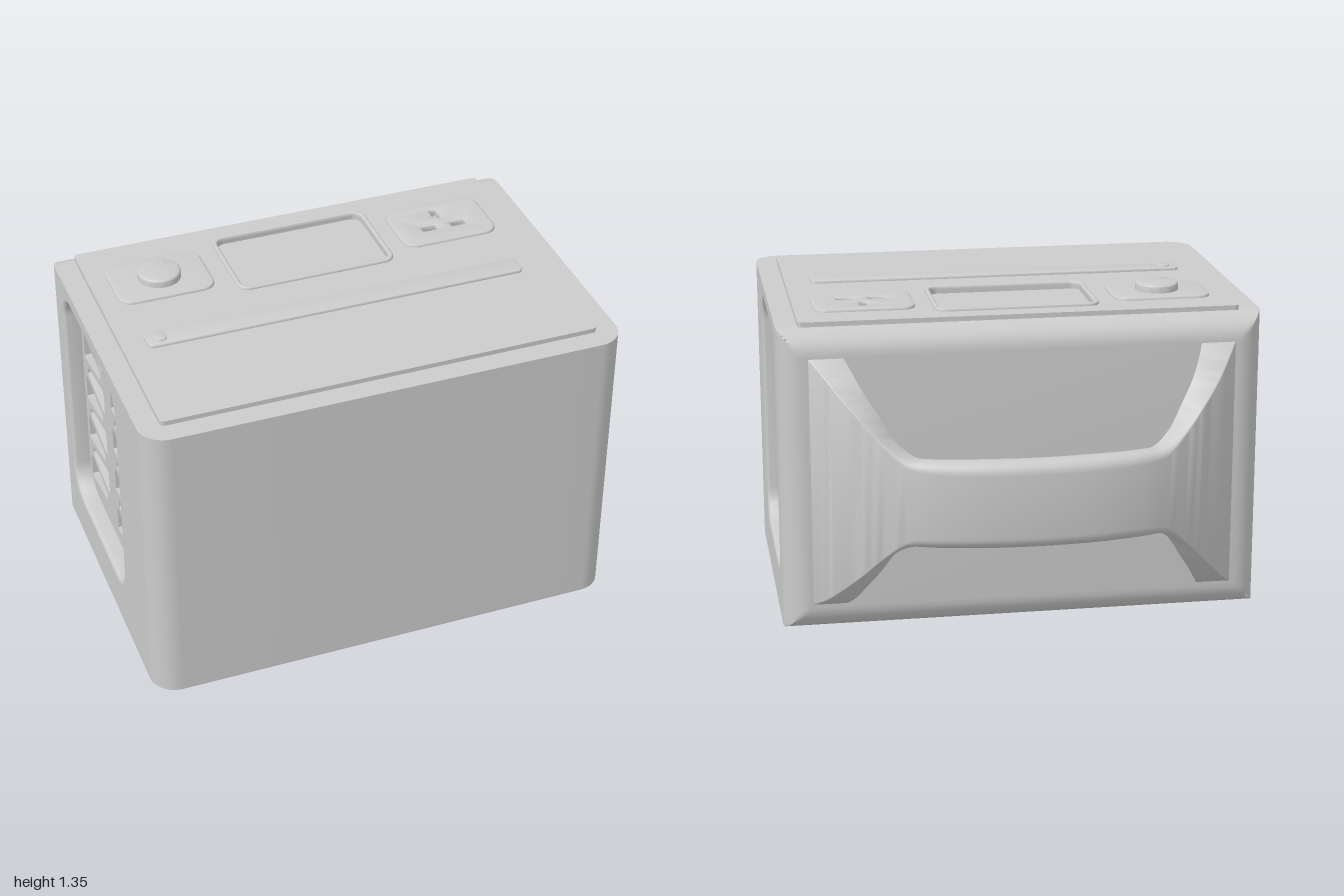
import * as THREE from 'three';
import { toCreasedNormals } from 'three/addons/utils/BufferGeometryUtils.js';

const mat = new THREE.MeshStandardMaterial({ color: 0xcccccc, side: THREE.DoubleSide });
const V3 = (x, y, z) => new THREE.Vector3(x, y, z);

function add(parent, name, geo) {
  const m = new THREE.Mesh(geo, mat);
  m.name = name;
  parent.add(m);
  return m;
}

// Rounded rectangle as a list of points, starting at the (x1, y1) corner
function roundRect(x0, x1, y0, y1, r, n = 8) {
  const pts = [];
  [[x1 - r, y1 - r], [x0 + r, y1 - r], [x0 + r, y0 + r], [x1 - r, y0 + r]].forEach(([cx, cy], k) => {
    for (let i = 0; i <= n; i++) {
      const a = (k + i / n) * Math.PI / 2;
      pts.push(new THREE.Vector2(cx + r * Math.cos(a), cy + r * Math.sin(a)));
    }
  });
  return pts;
}

function shapeOf(pts, holes = []) {
  const s = new THREE.Shape(pts);
  s.holes = holes.map(h => new THREE.Path(h));
  return s;
}

// Skin over a series of equal-length rings
function loft(rings, closed, crease = 0.6) {
  const n = rings[0].length, idx = [];
  for (let i = 0; i < rings.length - 1; i++) {
    for (let j = 0; j < (closed ? n : n - 1); j++) {
      const a = i * n + j, b = i * n + (j + 1) % n;
      idx.push(a, a + n, b, b, a + n, b + n);
    }
  }
  const g = new THREE.BufferGeometry().setFromPoints(rings.flat());
  g.setIndex(idx);
  return toCreasedNormals(g, crease);
}

// Flat part lying on the top: outline in x/z, soft upper edge
function raised(pts, top, height, bevel, holes = []) {
  const g = new THREE.ExtrudeGeometry(shapeOf(pts, holes), {
    depth: height, bevelEnabled: bevel > 0, bevelThickness: bevel, bevelSize: bevel,
    bevelOffset: -bevel, bevelSegments: 3,
  });
  g.rotateX(Math.PI / 2).translate(0, top - bevel, 0);
  return toCreasedNormals(g, 0.6);
}

function buildBody(root) {
  const H = 1.28, R = 0.11, back = -0.49;
  const outline = roundRect(-1, 1, back, 0.91, R, 12);
  const half = outline.length / 2;
  // heights and back insets of the rounded rear edges
  const levels = [];
  for (let i = 0; i <= 10; i++) {
    const a = i / 10 * Math.PI / 2;
    levels.push([R * (1 - Math.cos(a)), R * (1 - Math.sin(a))]);
  }
  for (let i = 10; i >= 0; i--) levels.push([H - levels[i][0], levels[i][1]]);
  const rings = levels.map(([y, inset]) => outline.map(p => V3(p.x, y, Math.max(p.y, back + inset))));
  add(root, 'frontShell', loft(rings.map(r => r.slice(0, half)), false));
  add(root, 'backShell', loft(rings.map(r => r.slice(half)), false));
  const cap = roundRect(-1, 1, back, 0.91, R, 12).map(p => p.setY(Math.max(p.y, back + R)));
  add(root, 'bottomFace', new THREE.ShapeGeometry(shapeOf(cap)).rotateX(Math.PI / 2));
  const topFace = new THREE.ShapeGeometry(shapeOf(cap.map(p => new THREE.Vector2(p.x, -p.y))));
  add(root, 'topFace', topFace.rotateX(-Math.PI / 2).translate(0, H, 0));
}

// One side wall with its sunken vent panel; outlines use u = -z
function buildSide() {
  const g = new THREE.Group();
  const recess = (o) => roundRect(-0.475 - o, 0.28 + o, 0.2 - o, 1.21 + o, 0.12 + o, 10);
  const wall = [[-0.8, 0], [0.38, 0], [0.38, 1.28], [-0.8, 1.28]].map(p => new THREE.Vector2(...p));
  add(g, 'sideWall', new THREE.ShapeGeometry(shapeOf(wall, [recess(0.02)])).rotateY(Math.PI / 2).translate(1, 0, 0));

  // rounded lip and wall of the recess
  const prof = [];
  for (let i = 0; i <= 5; i++) {
    const a = i / 5 * Math.PI / 2;
    prof.push([0.02 * (1 - Math.sin(a)), 0.98 + 0.02 * Math.cos(a)]);
  }
  prof.push([0, 0.93]);
  add(g, 'recessRim', loft(prof.map(([o, x]) => recess(o).map(p => V3(x, p.y, -p.x))), true));

  // interlocking wedge slots, two columns
  const slots = [];
  for (const u of [-0.435, -0.04]) {
    for (let i = 0; i < 4; i++) {
      const y = 1.06 - i * 0.211;
      const wedge = (wide, narrow, yc) => {
        const d = Math.sign(narrow - wide) * 0.012;
        slots.push([[wide + d, yc - 0.06], [narrow - d, yc - 0.022], [narrow, yc - 0.012], [narrow, yc + 0.012],
          [narrow - d, yc + 0.022], [wide + d, yc + 0.06], [wide, yc + 0.05], [wide, yc - 0.05]]
          .map(p => new THREE.Vector2(...p)));
      };
      wedge(u, u + 0.25, y);
      wedge(u + 0.285, u + 0.04, y - 0.104);
    }
  }
  const panel = new THREE.ExtrudeGeometry(shapeOf(recess(0), slots), { depth: 0.03, bevelEnabled: false });
  add(g, 'ventPanel', panel.rotateY(Math.PI / 2).translate(0.9, 0, 0));
  add(g, 'ventBacking', new THREE.BoxGeometry(0.02, 1.01, 0.755).translate(0.89, 0.705, 0.0975));
  return g;
}

function buildTop(root) {
  const top = new THREE.Group();
  top.name = 'controlTop';
  root.add(top);
  const screenHole = roundRect(-0.325, 0.32, -0.305, 0.07, 0.04);
  const pins = [
    roundRect(0.605, 0.635, -0.205, -0.145, 0.003, 2),
    roundRect(0.525, 0.59, -0.095, -0.065, 0.003, 2),
    roundRect(0.655, 0.72, -0.095, -0.065, 0.003, 2),
  ];
  add(top, 'topPlate', raised(roundRect(-0.91, 0.91, -0.41, 0.82, 0.02), 1.3, 0.02, 0, [screenHole, ...pins]));
  add(top, 'screenFrame', raised(roundRect(-0.345, 0.34, -0.325, 0.09, 0.05), 1.312, 0.015, 0.008, [screenHole]));
  add(top, 'knobPad', raised(roundRect(-0.83, -0.42, -0.265, 0.03, 0.06), 1.312, 0.015, 0.01));
  add(top, 'socketPad', raised(roundRect(0.41, 0.83, -0.265, 0.03, 0.06), 1.312, 0.015, 0.01, pins));
  add(top, 'lightStrip', raised(roundRect(-0.81, 0.8, 0.25, 0.35, 0.025), 1.312, 0.015, 0.006));

  // round buttons with a softened edge
  const button = (name, r, y0, y1, f, x, z) => {
    const pts = [new THREE.Vector2(r, y0)];
    for (let i = 0; i <= 5; i++) {
      const a = i / 5 * Math.PI / 2;
      pts.push(new THREE.Vector2(r - f + f * Math.cos(a), y1 - f + f * Math.sin(a)));
    }
    pts.push(new THREE.Vector2(0, y1));
    add(top, name, toCreasedNormals(new THREE.LatheGeometry(pts, 40), 0.6)).position.set(x, 0, z);
  };
  button('powerKnob', 0.09, 1.3, 1.345, 0.012, -0.625, -0.12);
  button('stripButton', 0.028, 1.3, 1.318, 0.003, -0.75, 0.3);
}

// Bowed handle: slim rounded grip flaring into tall blades at the mounts
function buildHandle(root) {
  // outer x, outer z, inner x, inner z, half height, edge radius
  const half = [
    [0.25, -0.9, 0.235, -0.785, 0.18, 0.05],
    [0.43, -0.86, 0.395, -0.765, 0.18, 0.045],
    [0.53, -0.82, 0.475, -0.74, 0.182, 0.03],
    [0.61, -0.775, 0.555, -0.7, 0.235, 0.01],
    [0.7, -0.715, 0.615, -0.66, 0.33, 0.006],
    [0.77, -0.65, 0.665, -0.615, 0.405, 0.005],
    [0.83, -0.57, 0.705, -0.555, 0.475, 0.005],
    [0.88, -0.485, 0.735, -0.485, 0.525, 0.005],
  ];
  const left = half.map(([a, b, c, ...rest]) => [-a, b, -c, ...rest]).reverse();
  const all = [...left, [0, -0.915, 0, -0.8, 0.18, 0.05], ...half];
  const outer = new THREE.CatmullRomCurve3(all.map(s => V3(s[0], s[4], s[1])));
  const inner = new THREE.CatmullRomCurve3(all.map(s => V3(s[2], s[5], s[3])));
  const rings = [];
  const steps = 64;
  for (let i = 0; i <= steps; i++) {
    const o = outer.getPoint(i / steps), n = inner.getPoint(i / steps);
    const w = Math.hypot(o.x - n.x, o.z - n.z);
    const r = Math.max(0.003, Math.min(n.y, w * 0.45));
    rings.push(roundRect(0, w, -o.y, o.y, r, 6).map(p => {
      const k = p.x / w;
      return V3(n.x + (o.x - n.x) * k, 0.645 + p.y, n.z + (o.z - n.z) * k);
    }));
  }
  add(root, 'handle', loft(rings, true, 0.5));
}

export function createModel() {
  const root = new THREE.Group();
  root.name = 'portablePowerStation';
  buildBody(root);
  for (const s of [1, -1]) {
    const side = buildSide();
    side.name = s > 0 ? 'leftSide' : 'rightSide';
    side.scale.x = s;
    root.add(side);
  }
  buildTop(root);
  buildHandle(root);
  return root;
}
